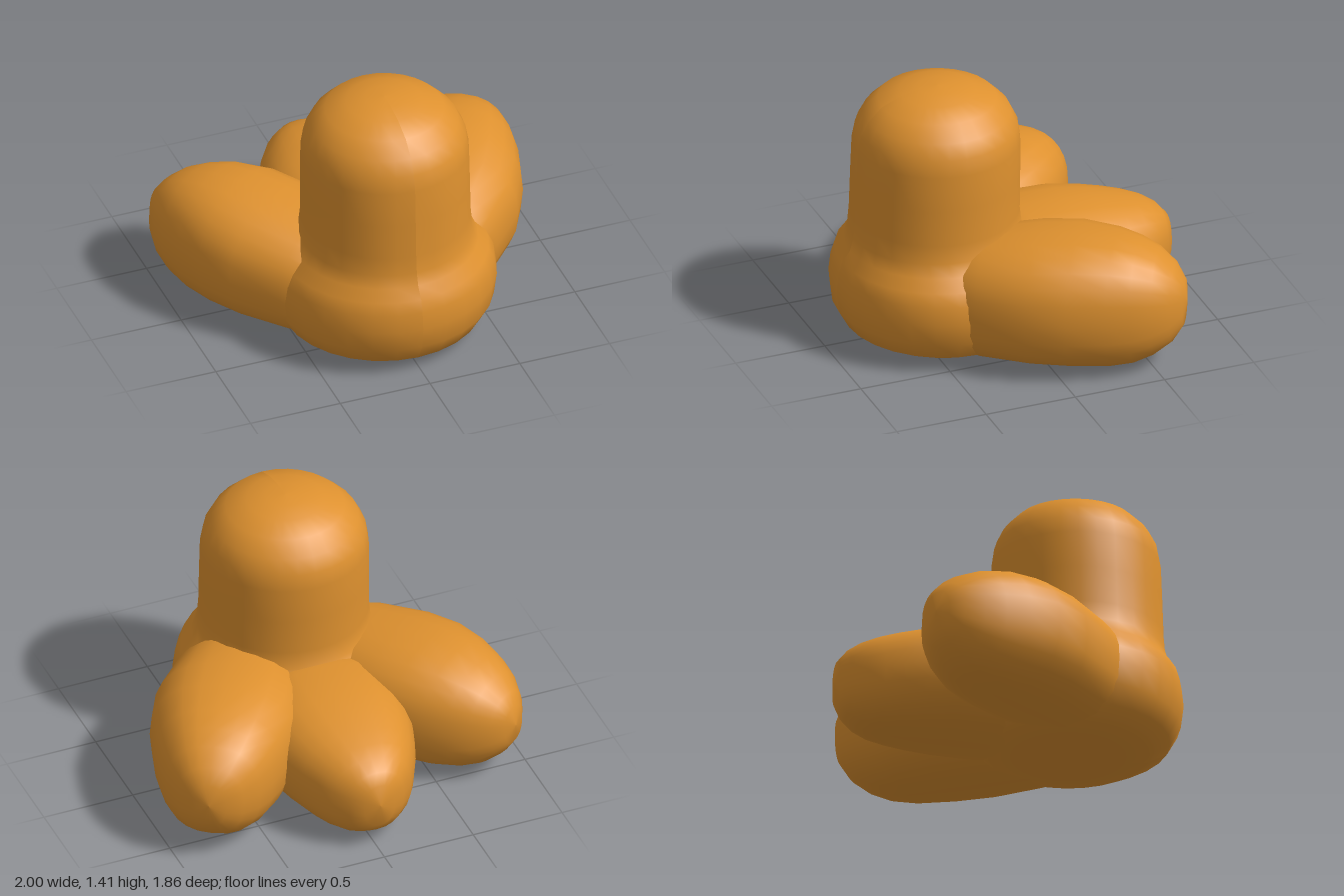
import * as THREE from 'three';

const amber = new THREE.MeshStandardMaterial({ color: 0xde912f });
amber.name = 'amber';

const power = (v, e) => Math.sign(v) * Math.abs(v) ** e;

// Rounded body lofted along a ground-level axis.
// stations: [distance along axis, half width, bottom y, top y]
function loft(name, start, end, stations, seg = 24) {
  const d = new THREE.Vector3(end[0] - start[0], 0, end[1] - start[1]).normalize();
  const s = d.clone().cross(new THREE.Vector3(0, 1, 0));
  const pos = [], index = [];
  stations.forEach(([a, w, lo, hi], i) => {
    for (let j = 0; j < seg; j++) {
      const t = (j / seg) * Math.PI * 2;
      const side = w * power(Math.cos(t), 0.84);
      const y = (lo + hi) / 2 + ((hi - lo) / 2) * power(Math.sin(t), 0.84);
      pos.push(start[0] + d.x * a + s.x * side, y, start[1] + d.z * a + s.z * side);
      if (i === stations.length - 1) continue;
      const k = (j + 1) % seg, p = i * seg, q = p + seg;
      index.push(p + j, q + j, p + k, q + j, q + k, p + k);
    }
  });
  const g = new THREE.BufferGeometry();
  g.setAttribute('position', new THREE.Float32BufferAttribute(pos, 3));
  g.setIndex(index);
  g.computeVertexNormals();
  const mesh = new THREE.Mesh(g, amber);
  mesh.name = name;
  return mesh;
}

// Round heel flowing up into the domed leg, leaning slightly backwards
function heelAndLeg() {
  const profile = [
    [0, 0.003], [0.3, 0.004], [0.42, 0.018], [0.53, 0.08], [0.585, 0.18], [0.6, 0.3],
    [0.585, 0.4], [0.55, 0.47], [0.49, 0.53], [0.455, 0.6], [0.445, 0.7], [0.443, 0.9],
    [0.44, 1.1], [0.425, 1.19], [0.385, 1.27], [0.31, 1.345], [0.2, 1.39], [0.1, 1.41], [0, 1.414],
  ].map(([r, y]) => new THREE.Vector2(r, y));
  const g = new THREE.LatheGeometry(profile, 28);
  const p = g.attributes.position;
  for (let i = 0; i < p.count; i++) {
    const y = p.getY(i);
    const rise = THREE.MathUtils.smoothstep(y, 0.35, 0.65);
    p.setX(i, p.getX(i) - 0.01);
    p.setZ(i, p.getZ(i) + 0.33 + 0.055 * rise - 0.025 * Math.max(0, y - 0.6));
  }
  g.computeVertexNormals();
  const mesh = new THREE.Mesh(g, amber);
  mesh.name = 'heelAndLeg';
  return mesh;
}

export function createModel() {
  const foot = new THREE.Group();
  foot.name = 'foot';
  foot.add(heelAndLeg());

  foot.add(loft('leftToe', [0.236, 0.351], [0.866, -0.699], [
    [-0.2, 0, 0.3, 0.3], [-0.16, 0.15, 0.14, 0.46], [0, 0.28, 0.03, 0.58], [0.15, 0.345, 0.01, 0.66],
    [0.42, 0.405, 0.004, 0.7], [0.63, 0.395, 0.003, 0.72], [0.83, 0.345, 0.006, 0.705],
    [0.95, 0.3, 0.025, 0.675], [1.05, 0.25, 0.07, 0.63], [1.14, 0.175, 0.14, 0.56],
    [1.195, 0.09, 0.23, 0.48], [1.21, 0, 0.36, 0.36],
  ]));

  foot.add(loft('rightToe', [-0.222, 0.4], [-0.902, -0.61], [
    [-0.2, 0, 0.3, 0.3], [-0.16, 0.15, 0.14, 0.46], [0, 0.29, 0.03, 0.56], [0.2, 0.35, 0.01, 0.62],
    [0.48, 0.395, 0.004, 0.66], [0.68, 0.385, 0.003, 0.675], [0.85, 0.34, 0.008, 0.66],
    [0.98, 0.285, 0.035, 0.62], [1.08, 0.225, 0.08, 0.57], [1.16, 0.15, 0.15, 0.5],
    [1.205, 0.08, 0.22, 0.44], [1.22, 0, 0.33, 0.33],
  ]));

  foot.add(loft('middleToe', [-0.01, 0.3], [-0.01, -0.93], [
    [0, 0, 0.3, 0.3], [0.05, 0.3, 0.02, 0.55], [0.4, 0.42, 0.004, 0.61], [0.65, 0.41, 0.004, 0.6],
    [0.8, 0.37, 0.005, 0.58], [0.92, 0.325, 0.01, 0.555], [1.02, 0.275, 0.02, 0.53],
    [1.1, 0.225, 0.045, 0.5], [1.17, 0.155, 0.09, 0.455], [1.215, 0.085, 0.15, 0.4],
    [1.23, 0, 0.28, 0.28],
  ]));

  return foot;
}
